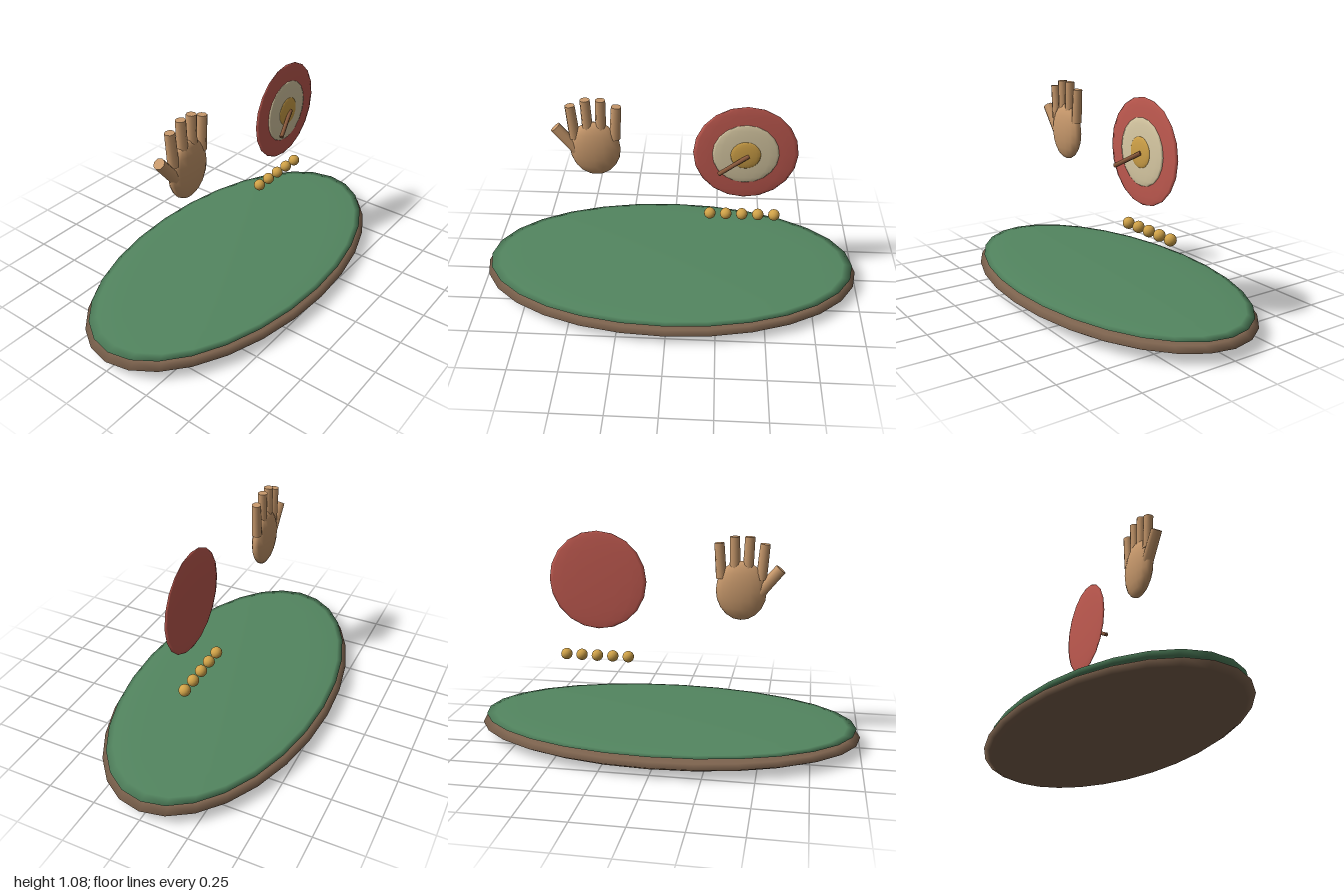
import * as THREE from 'three';

const material = (color) => new THREE.MeshStandardMaterial({ color });

// Sphere stretched to three radii
function ellipsoid(name, mat, [x, y, z], [rx, ry, rz], w = 16, h = 10) {
  const mesh = new THREE.Mesh(new THREE.SphereGeometry(1, w, h).scale(rx, ry, rz), mat);
  mesh.name = name;
  mesh.position.set(x, y, z);
  return mesh;
}

// Cylinder between two points
function rod(name, mat, from, to, rFrom, rTo, sides = 8) {
  const a = new THREE.Vector3(...from);
  const b = new THREE.Vector3(...to);
  const dir = b.clone().sub(a);
  const mesh = new THREE.Mesh(new THREE.CylinderGeometry(rTo, rFrom, dir.length(), sides), mat);
  mesh.name = name;
  mesh.position.copy(a).add(b).multiplyScalar(0.5);
  mesh.quaternion.setFromUnitVectors(new THREE.Vector3(0, 1, 0), dir.normalize());
  return mesh;
}

export function createModel() {
  const model = new THREE.Group();
  const earth = material(0x7d634e);
  const grass = material(0x538660);
  const skin = material(0xc8996c);
  const red = material(0xc05a50);
  const cream = material(0xd9caa4);
  const gold = material(0xd0a248);
  const wood = material(0x8a5a3c);

  // Oval base with a thin green top
  model.add(ellipsoid('base', earth, [0, 0.058, 0], [1, 0.058, 0.544], 28, 10));
  model.add(ellipsoid('grassTop', grass, [0, 0.103, 0], [0.98, 0.02, 0.52], 28, 10));

  // Raised hand
  const hand = new THREE.Group();
  hand.name = 'hand';
  hand.add(ellipsoid('palm', skin, [-0.375, 0.8, 0], [0.127, 0.15, 0.047]));
  const fingers = [[-0.473, -0.488, 1.037], [-0.405, -0.413, 1.07], [-0.343, -0.338, 1.07], [-0.275, -0.262, 1.037]];
  for (const [x0, x1, top] of fingers) {
    hand.add(rod('finger', skin, [x0, 0.86, 0], [x1, top, 0], 0.027, 0.025));
  }
  hand.add(rod('thumb', skin, [-0.455, 0.78, 0], [-0.567, 0.915, 0], 0.031, 0.029));
  model.add(hand);

  // Round target of three stacked lenses
  const target = new THREE.Group();
  target.name = 'target';
  target.add(ellipsoid('outerRing', red, [0.37, 0.818, 0.037], [0.257, 0.257, 0.011]));
  target.add(ellipsoid('middleRing', cream, [0.37, 0.818, 0.047], [0.163, 0.163, 0.011]));
  target.add(ellipsoid('bullseye', gold, [0.37, 0.818, 0.056], [0.075, 0.075, 0.01]));
  target.add(rod('dart', wood, [0.386, 0.819, 0.063], [0.239, 0.737, 0.108], 0.011, 0.011));
  model.add(target);

  // Row of beads below the target
  for (let i = 0; i < 5; i++) {
    model.add(ellipsoid('bead', gold, [0.205 + i * 0.083, 0.425, 0], [0.03, 0.03, 0.03], 16, 12));
  }
  return model;
}
